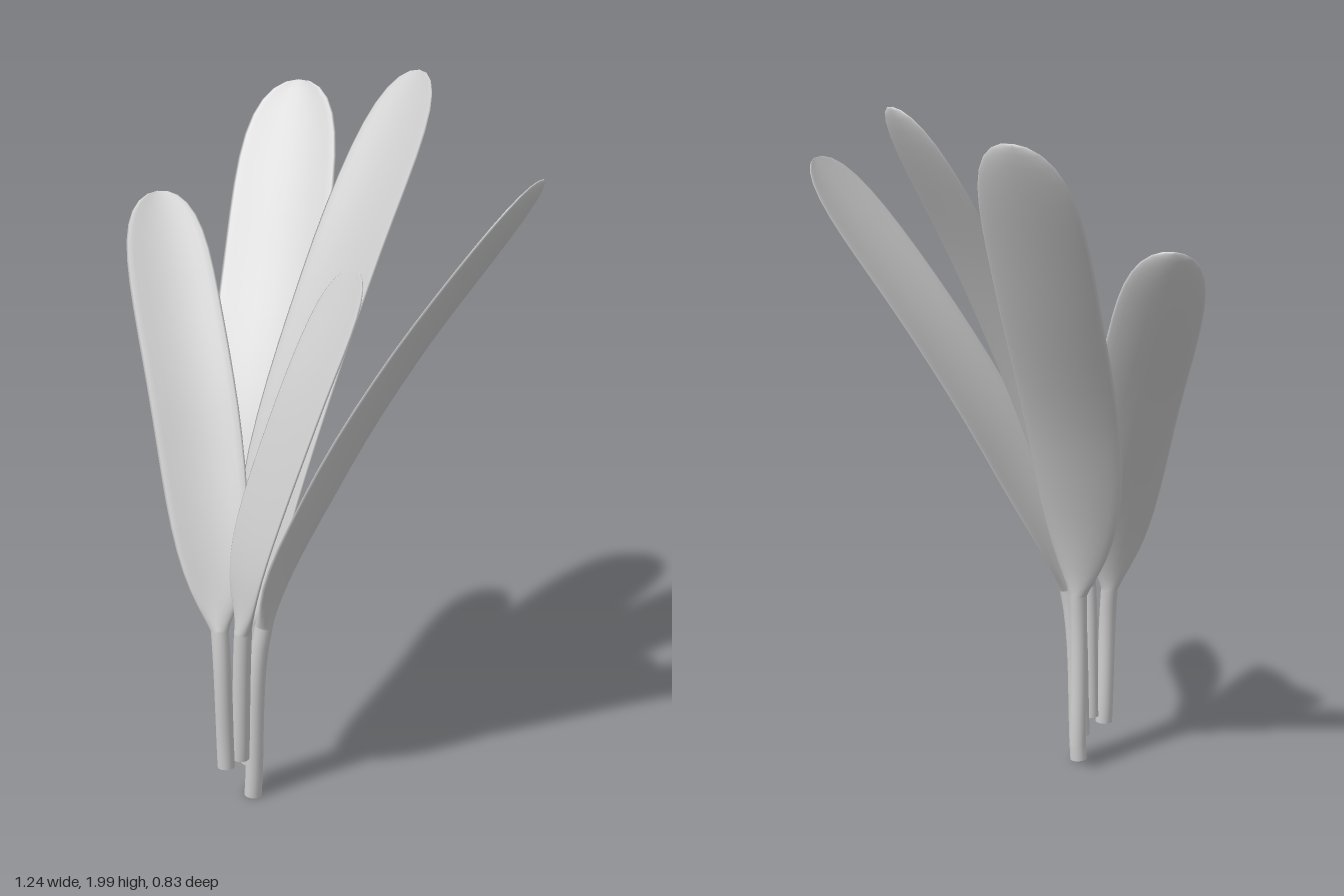
import * as THREE from 'three';

const SIDES = 20;
const STEM_RINGS = 9;
const BLADE_RINGS = 24;
const STEM_RADIUS = 0.025;
const NECK_Y = 0.54; // height where stems open into blades

// Turn of the blade about y in degrees, half width, centreline from stem base to blade tip
const leaves = {
  leftLeaf: [90, 0.147, [-0.08, 0.01, 0.31], [-0.04, 0.56, 0.3], [0.11, 0.95, 0.225], [0.3, 1.32, 0.12], [0.62, 1.81, -0.02]],
  centreLeaf: [25, 0.142, [-0.1, 0.1, 0.29], [-0.08, 0.56, 0.285], [-0.06, 0.9, 0.21], [0.03, 1.5, -0.055], [0.125, 2, -0.35]],
  backLeaf: [0, 0.16, [-0.11, 0.08, 0.25], [-0.1, 0.56, 0.265], [-0.16, 1, 0.12], [-0.225, 1.5, -0.16], [-0.28, 1.93, -0.41]],
  rightLeaf: [-30, 0.124, [-0.13, 0.12, 0.375], [-0.145, 0.56, 0.375], [-0.3, 1.05, 0.195], [-0.46, 1.4, 0.03], [-0.575, 1.64, -0.09]],
  frontLeaf: [30, 0.104, [-0.1, 0.14, 0.345], [-0.075, 0.56, 0.365], [-0.055, 0.75, 0.365], [0.05, 1.17, 0.27], [0.15, 1.545, 0.12]],
};

// Curve parameter at a given height
function paramAtHeight(curve, y) {
  let lo = 0, hi = 1;
  for (let i = 0; i < 30; i++) {
    const mid = (lo + hi) / 2;
    if (curve.getPoint(mid).y < y) lo = mid; else hi = mid;
  }
  return (lo + hi) / 2;
}

// Blade section at b (0 neck, 1 tip): widens quickly, then ends in a blunt round tip
function bladeSection(b, half) {
  const tip = Math.sqrt(1 - Math.max(0, (b - 0.55) / 0.45) ** 6);
  const w = (half * (1 - Math.exp(-b / 0.125)) + STEM_RADIUS * Math.exp(-b / 0.04)) * tip;
  const thick = 0.002 + (0.01 + 0.013 * Math.exp(-b / 0.06)) * tip;
  return { w, thick, cup: 0.18 * w * Math.min(1, b / 0.08) };
}

// One skin running from the round stem into a thin cupped blade
function leafGeometry(turn, half, points) {
  const curve = new THREE.CatmullRomCurve3(points.map(p => new THREE.Vector3(...p)));
  const baseY = points[0][1], tipY = points.at(-1)[1];
  const rings = [];
  for (let i = 0; i < STEM_RINGS; i++) {
    rings.push({ y: baseY + (NECK_Y - baseY) * i / STEM_RINGS, w: STEM_RADIUS, thick: STEM_RADIUS, cup: 0 });
  }
  for (let i = 0; i <= BLADE_RINGS; i++) {
    const b = (1 - Math.cos(Math.PI * i / BLADE_RINGS)) / 2;
    rings.push({ y: NECK_Y + (tipY - NECK_Y) * b, ...bladeSection(b, half) });
  }

  const positions = [], index = [];
  const angle = THREE.MathUtils.degToRad(turn);
  const across = new THREE.Vector3(Math.cos(angle), 0, Math.sin(angle));
  const addRing = ({ y, w, thick, cup }) => {
    const t = paramAtHeight(curve, y);
    const centre = curve.getPoint(t), tangent = curve.getTangent(t);
    const u = across.clone().addScaledVector(tangent, -across.dot(tangent)).normalize();
    const n = u.clone().cross(tangent);
    for (let j = 0; j < SIDES; j++) {
      const a = j / SIDES * Math.PI * 2, c = Math.cos(a);
      const p = centre.clone()
        .addScaledVector(u, w * c)
        .addScaledVector(n, thick * Math.sin(a) + cup * (c * c - 0.5));
      positions.push(p.x, p.y, p.z);
    }
  };
  rings.forEach(addRing);
  for (let i = 0; i < rings.length - 1; i++) {
    for (let j = 0; j < SIDES; j++) {
      const a = i * SIDES + j, b = i * SIDES + (j + 1) % SIDES;
      index.push(a, a + SIDES, b, b, a + SIDES, b + SIDES);
    }
  }

  // Flat cut at the stem base, with its own vertices for a sharp edge
  const cap = positions.length / 3;
  addRing(rings[0]);
  positions.push(...points[0]);
  for (let j = 0; j < SIDES; j++) index.push(cap + SIDES, cap + j, cap + (j + 1) % SIDES);

  const geometry = new THREE.BufferGeometry();
  geometry.setAttribute('position', new THREE.Float32BufferAttribute(positions, 3));
  geometry.setIndex(index);
  geometry.computeVertexNormals();
  return geometry;
}

export function createModel() {
  const model = new THREE.Group();
  model.name = 'leafBundle';
  const material = new THREE.MeshStandardMaterial({ color: 0xcccccc });
  for (const [name, [turn, half, ...points]] of Object.entries(leaves)) {
    const mesh = new THREE.Mesh(leafGeometry(turn, half, points), material);
    mesh.name = name;
    model.add(mesh);
  }
  return model;
}
